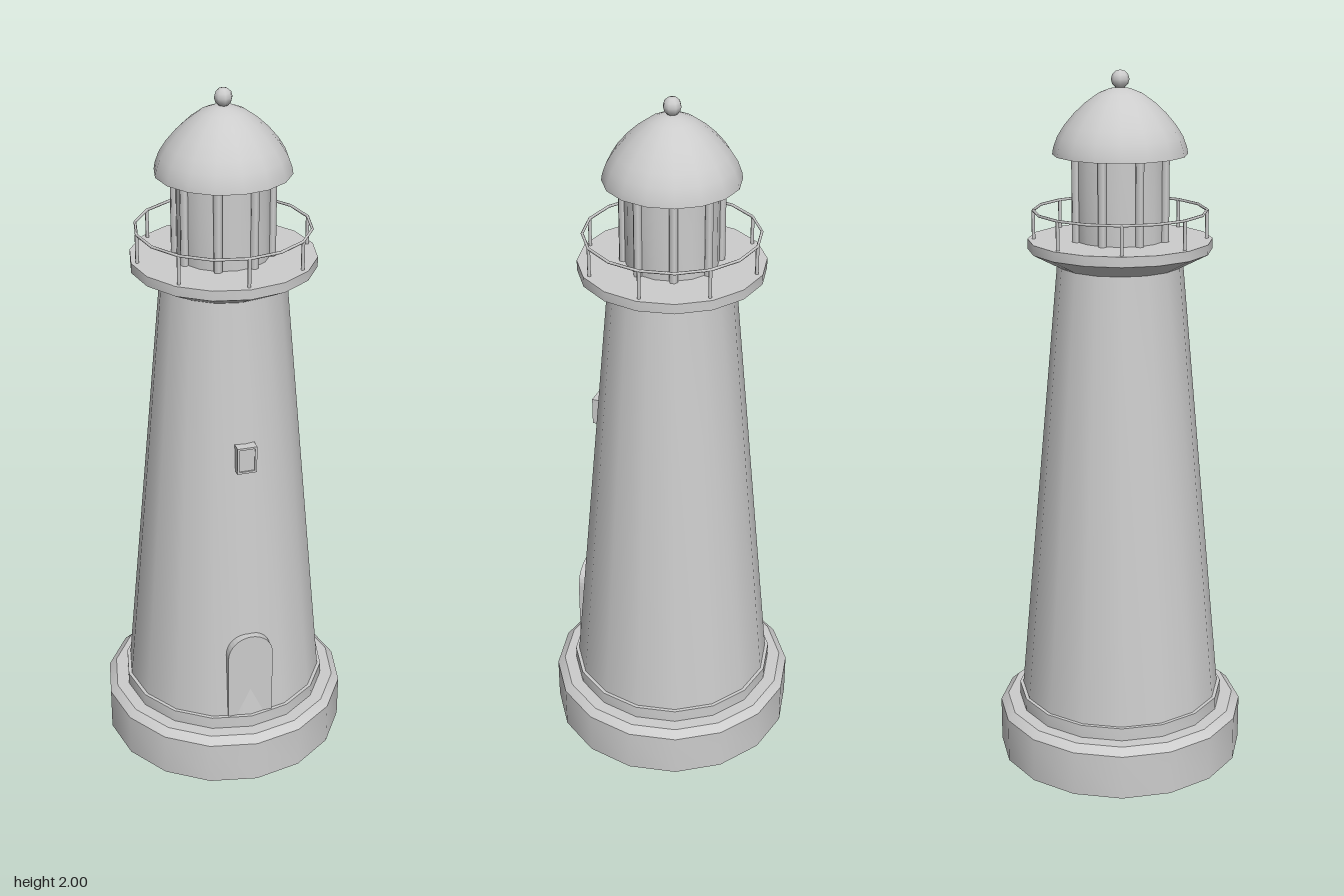
import * as THREE from 'three';
import { toCreasedNormals } from 'three/addons/utils/BufferGeometryUtils.js';

const SIDES = 16;

export function createModel() {
  const group = new THREE.Group();
  group.name = 'lighthouse';
  const stone = new THREE.MeshStandardMaterial({ color: 0xcccccc });
  stone.name = 'pale grey';

  const add = (name, geometry, x = 0, y = 0, z = 0, parent = group) => {
    const mesh = new THREE.Mesh(geometry, stone);
    mesh.name = name;
    mesh.position.set(x, y, z);
    parent.add(mesh);
    return mesh;
  };
  // Turned solid from [radius, height] pairs, listed from bottom to top
  const turned = (profile, crease = 0.6) => toCreasedNormals(
    new THREE.LatheGeometry(profile.map(([r, y]) => new THREE.Vector2(r, y)), SIDES), crease);

  // Foundation with chamfered rim and a second step
  add('foundation', turned([[0, 0], [0.36, 0], [0.36, 0.132], [0.338, 0.152], [0, 0.152]]));
  add('plinth', turned([[0, 0.15], [0.302, 0.15], [0.302, 0.19], [0, 0.19]]));

  // Tapered tower
  add('tower', turned([[0, 0.18], [0.292, 0.19], [0.175, 1.475], [0, 1.475]]));

  // Gallery deck with sloping underside
  add('gallery', turned([[0, 1.472], [0.175, 1.472], [0.256, 1.515], [0.256, 1.543], [0, 1.543]], 0.45));

  // Railing: eight posts and a thin handrail
  const railing = new THREE.Group();
  railing.name = 'railing';
  group.add(railing);
  for (let i = 0; i < 8; i++) {
    const a = (i * Math.PI) / 4;
    add('railPost', new THREE.CylinderGeometry(0.005, 0.005, 0.08, 6),
      Math.sin(a) * 0.239, 1.582, Math.cos(a) * 0.239, railing);
  }
  const rail = add('handrail', new THREE.TorusGeometry(0.239, 0.004, 6, SIDES), 0, 1.622, 0, railing);
  rail.rotation.x = Math.PI / 2;

  // Lantern room with eight mullions
  add('lantern', turned([[0, 1.54], [0.128, 1.54], [0.128, 1.78], [0, 1.78]]));
  for (let i = 0; i < 8; i++) {
    const a = ((i + 0.5) * Math.PI) / 4;
    const r = 0.131;
    add('mullion', new THREE.CylinderGeometry(0.012, 0.012, 0.236, 6),
      Math.sin(a) * r, 1.66, Math.cos(a) * r);
  }

  // Domed roof and ball finial
  add('roof', turned([[0, 1.775], [0.185, 1.775], [0.182, 1.793], [0.171, 1.823], [0.152, 1.853],
    [0.125, 1.885], [0.095, 1.913], [0.06, 1.938], [0.03, 1.95], [0, 1.955]], 0.75));
  add('finial', new THREE.SphereGeometry(0.025, 8, 6), 0, 1.975, 0);

  // Arched door
  const arch = new THREE.Shape();
  arch.moveTo(-0.067, 0.188);
  arch.lineTo(0.067, 0.188);
  arch.lineTo(0.067, 0.398);
  arch.absarc(0, 0.398, 0.067, 0, Math.PI, false);
  arch.closePath();
  add('door', new THREE.ExtrudeGeometry(arch, { depth: 0.084, bevelEnabled: false, curveSegments: 8 }), 0, 0, 0.2);

  // Window: slim frame around a slightly recessed pane
  const frame = new THREE.Shape();
  frame.moveTo(-0.028, -0.04);
  frame.lineTo(0.028, -0.04);
  frame.lineTo(0.028, 0.04);
  frame.lineTo(-0.028, 0.04);
  frame.closePath();
  const hole = new THREE.Path();
  hole.moveTo(-0.022, -0.034);
  hole.lineTo(-0.022, 0.034);
  hole.lineTo(0.022, 0.034);
  hole.lineTo(0.022, -0.034);
  hole.closePath();
  frame.holes.push(hole);
  add('windowFrame', new THREE.ExtrudeGeometry(frame, { depth: 0.05, bevelEnabled: false }), 0, 1.025, 0.186);
  add('windowPane', new THREE.BoxGeometry(0.046, 0.07, 0.046), 0, 1.025, 0.209);

  return group;
}
